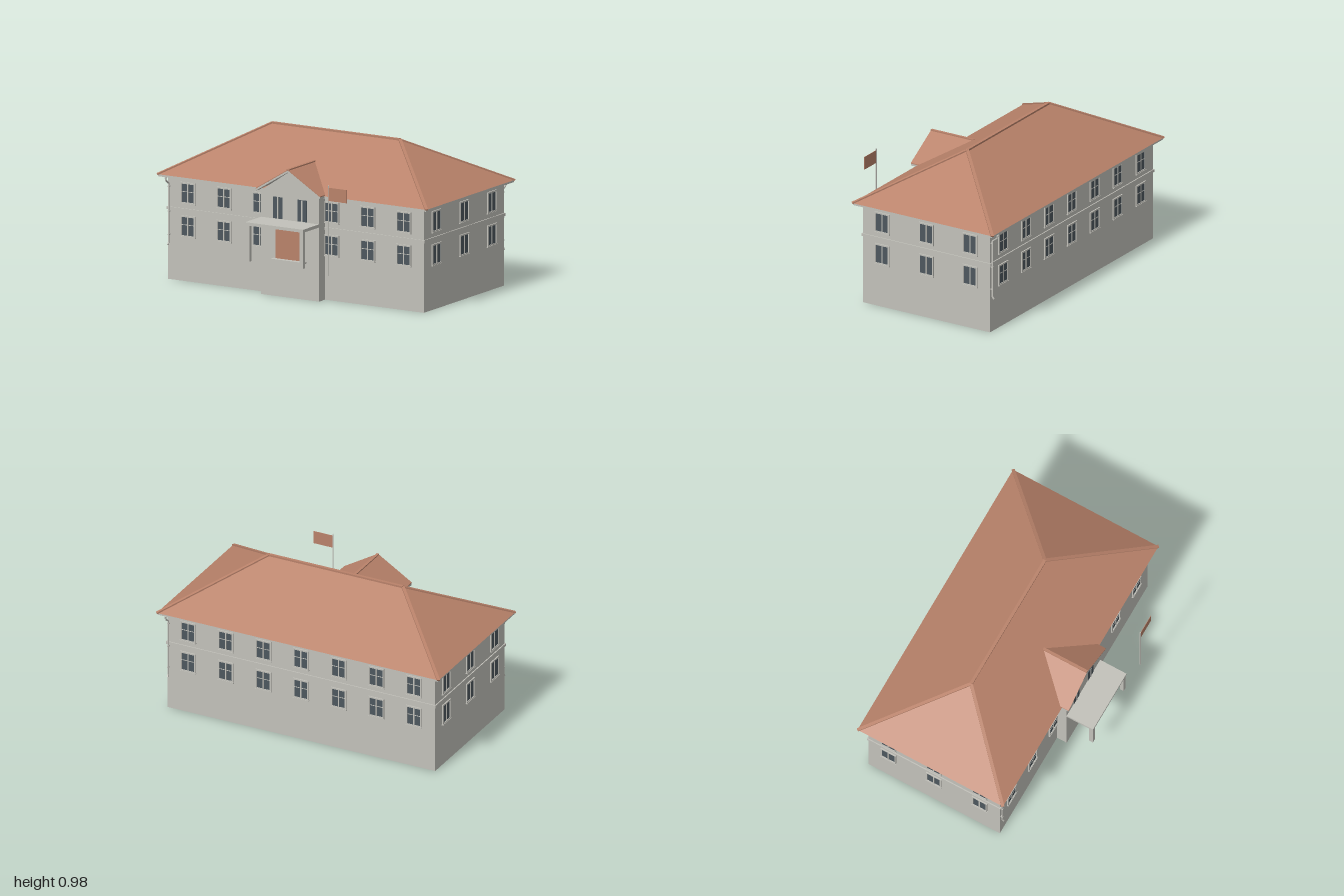
import * as THREE from 'three';

export function createModel() {
  const root = new THREE.Group();
  root.name = 'schoolhouse';
  const mat = (name, color) => {
    const m = new THREE.MeshStandardMaterial({ color });
    m.name = name;
    return m;
  };
  const stone = mat('stone grey', 0xc2c1ba);
  stone.side = THREE.DoubleSide;
  const tile = mat('terracotta', 0xb9826a);
  const glass = mat('dark glass', 0x4d575e);

  const add = (name, geo, m, parent = root) => {
    const mesh = new THREE.Mesh(geo, m);
    mesh.name = name;
    parent.add(mesh);
    return mesh;
  };
  // box given by its minimum and maximum on each axis
  const box = (name, m, x0, x1, y0, y1, z0, z1, parent = root) => {
    const b = add(name, new THREE.BoxGeometry(x1 - x0, y1 - y0, z1 - z0), m, parent);
    b.position.set((x0 + x1) / 2, (y0 + y1) / 2, (z0 + z1) / 2);
    return b;
  };
  // bar running from point a to point b
  const bar = (name, m, a, b, w, h) => {
    const p = new THREE.Vector3(...a), q = new THREE.Vector3(...b);
    const mesh = add(name, new THREE.BoxGeometry(w, h, p.distanceTo(q)), m);
    mesh.position.copy(p).lerp(q, 0.5);
    mesh.lookAt(q);
    return mesh;
  };
  const surface = (points, faces) => {
    const pos = faces.flatMap((f) => f.flatMap((i) => points[i]));
    const g = new THREE.BufferGeometry();
    g.setAttribute('position', new THREE.Float32BufferAttribute(pos, 3));
    g.computeVertexNormals();
    return g;
  };

  // Outer walls: an open shell following the footprint (x, z)
  const wallTop = 0.67;
  const plan = [[-0.95, -0.58], [-0.95, 0.37], [-0.215, 0.37], [-0.215, 0.44],
    [0.215, 0.44], [0.215, 0.37], [0.95, 0.37], [0.95, -0.58]];
  plan.forEach(([x, z], i) => {
    const [u, v] = plan[(i + 1) % plan.length];
    const pts = [[x, 0, z], [u, 0, v], [u, wallTop, v], [x, wallTop, z]];
    add('wall', surface(pts, [[0, 1, 2], [0, 2, 3]]), stone);
  });
  add('bayGable', surface([[-0.215, wallTop, 0.44], [0.215, wallTop, 0.44], [0, 0.815, 0.44]],
    [[0, 1, 2]]), stone);

  // Belt course around the building, broken by the entrance bay
  const y0 = 0.45, y1 = 0.468;
  box('beltBack', stone, -0.957, 0.957, y0, y1, -0.587, -0.58);
  for (const s of [-1, 1]) {
    box('beltSide', stone, s * 0.95 - (s < 0 ? 0.007 : 0), s * 0.95 + (s > 0 ? 0.007 : 0), y0, y1, -0.58, 0.37);
    box('beltFront', stone, s < 0 ? -0.957 : 0.215, s < 0 ? -0.215 : 0.957, y0, y1, 0.37, 0.377);
  }

  // Main hipped roof with eaves board and ridge caps
  box('eaves', stone, -0.995, 0.995, 0.664, 0.678, -0.625, 0.415);
  const E = [[-1, 0.678, -0.63], [1, 0.678, -0.63], [1, 0.678, 0.42], [-1, 0.678, 0.42]];
  const R = [[-0.475, 0.975, -0.105], [0.475, 0.975, -0.105]];
  add('mainRoof', surface([...E, ...R],
    [[3, 2, 5], [3, 5, 4], [1, 0, 4], [1, 4, 5], [2, 1, 5], [0, 3, 4], [0, 1, 2], [0, 2, 3]]), tile);
  bar('ridgeCap', tile, R[0], R[1], 0.02, 0.012);
  E.forEach((e, i) => bar('hipCap', tile, e, R[i === 1 || i === 2 ? 1 : 0], 0.02, 0.01));

  // Gabled roof of the entrance bay: a pale lining under a tiled cover
  const chevron = (name, m, y, t, z1) => {
    const s = new THREE.Shape();
    [[-0.24, y], [0, y + 0.146], [0.24, y], [0.24, y - t], [0, y + 0.146 - t], [-0.24, y - t]]
      .forEach(([a, b], i) => (i ? s.lineTo(a, b) : s.moveTo(a, b)));
    const g = new THREE.ExtrudeGeometry(s, { depth: z1 - 0.16, bevelEnabled: false });
    add(name, g, m).position.z = 0.16;
  };
  chevron('bayRoofLining', stone, 0.68, 0.013, 0.467);
  chevron('bayRoof', tile, 0.685, 0.005, 0.468);
  bar('bayRidgeCap', tile, [0, 0.829, 0.15], [0, 0.829, 0.468], 0.018, 0.008);

  // Windows: frame and glass pass through the wall, bars sit outside
  const addWindow = (x, y, z, turn, w = 0.11, h = 0.138, transom = true, framed = true) => {
    const g = new THREE.Group();
    g.name = 'window';
    g.position.set(x, y, z);
    g.rotation.y = turn;
    root.add(g);
    const a = w / 2, b = h / 2, e = framed ? 0.01 : 0.003;
    if (framed) {
      for (const s of [-1, 1]) {
        box('frameSide', stone, s * (a - 0.005) - 0.005, s * (a - 0.005) + 0.005, -b, b, -0.006, 0.008, g);
        box('frameRail', stone, -a, a, s * (b - 0.005) - 0.005, s * (b - 0.005) + 0.005, -0.006, 0.008, g);
      }
      box('sill', stone, -a - 0.002, a + 0.002, -b - 0.003, -b + 0.003, 0, 0.011, g);
    }
    box('glass', glass, -a + e, a - e, -b + e, b - e, -0.004, 0.003, g);
    box('mullion', stone, -0.004, 0.004, -b + e, b - e, 0.002, 0.006, g);
    if (transom) box('transom', stone, -a + e, a - e, 0.007, 0.011, 0.002, 0.005, g);
  };
  for (const y of [0.354, 0.568]) {
    for (let i = -3; i <= 3; i++) {
      addWindow(i * 0.267, y, -0.58, Math.PI);
      if (i) addWindow(i * 0.267, y, 0.37, 0);
    }
    for (const z of [0.225, -0.105, -0.433]) {
      for (const s of [-1, 1]) addWindow(s * 0.95, y, z, (s * Math.PI) / 2, 0.11, 0.138, false);
    }
  }
  for (const s of [-1, 1]) addWindow(s * 0.09, 0.57, 0.44, 0, 0.075, 0.145, false, false);

  // Entrance: door, step, canopy and posts
  box('door', tile, -0.105, 0.105, 0.245, 0.44, 0.438, 0.445);
  box('doorStep', stone, -0.12, 0.12, 0.234, 0.245, 0.44, 0.477);
  box('canopy', stone, -0.215, 0.215, 0.478, 0.498, 0.44, 0.63);
  for (const s of [-1, 1]) {
    box('canopyPost', stone, s * 0.198 - 0.013, s * 0.198 + 0.013, 0.245, 0.478, 0.6, 0.626);
  }

  // Flagpole and flag
  add('flagpole', new THREE.CylinderGeometry(0.004, 0.004, 0.58, 10), stone).position.set(0.4, 0.512, 0.625);
  box('flag', tile, 0.403, 0.537, 0.705, 0.79, 0.624, 0.627);

  // Downpipes at two opposite corners
  const downpipe = (x, wall, s) => {
    const path = [[0.05, 0.665], [0.046, 0.645], [0.012, 0.62], [0.012, 0.24], [0.022, 0.226]]
      .map(([d, y]) => [x, y, wall + s * d]);
    for (let i = 1; i < path.length; i++) bar('downpipe', stone, path[i - 1], path[i], 0.008, 0.008);
    for (const y of [0.29, 0.44, 0.6]) {
      box('pipeBracket', stone, x - 0.006, x + 0.006, y - 0.003, y + 0.003, wall + Math.min(0, s * 0.018), wall + Math.max(0, s * 0.018));
    }
  };
  downpipe(-0.938, 0.37, 1);
  downpipe(0.938, -0.58, -1);

  return root;
}
